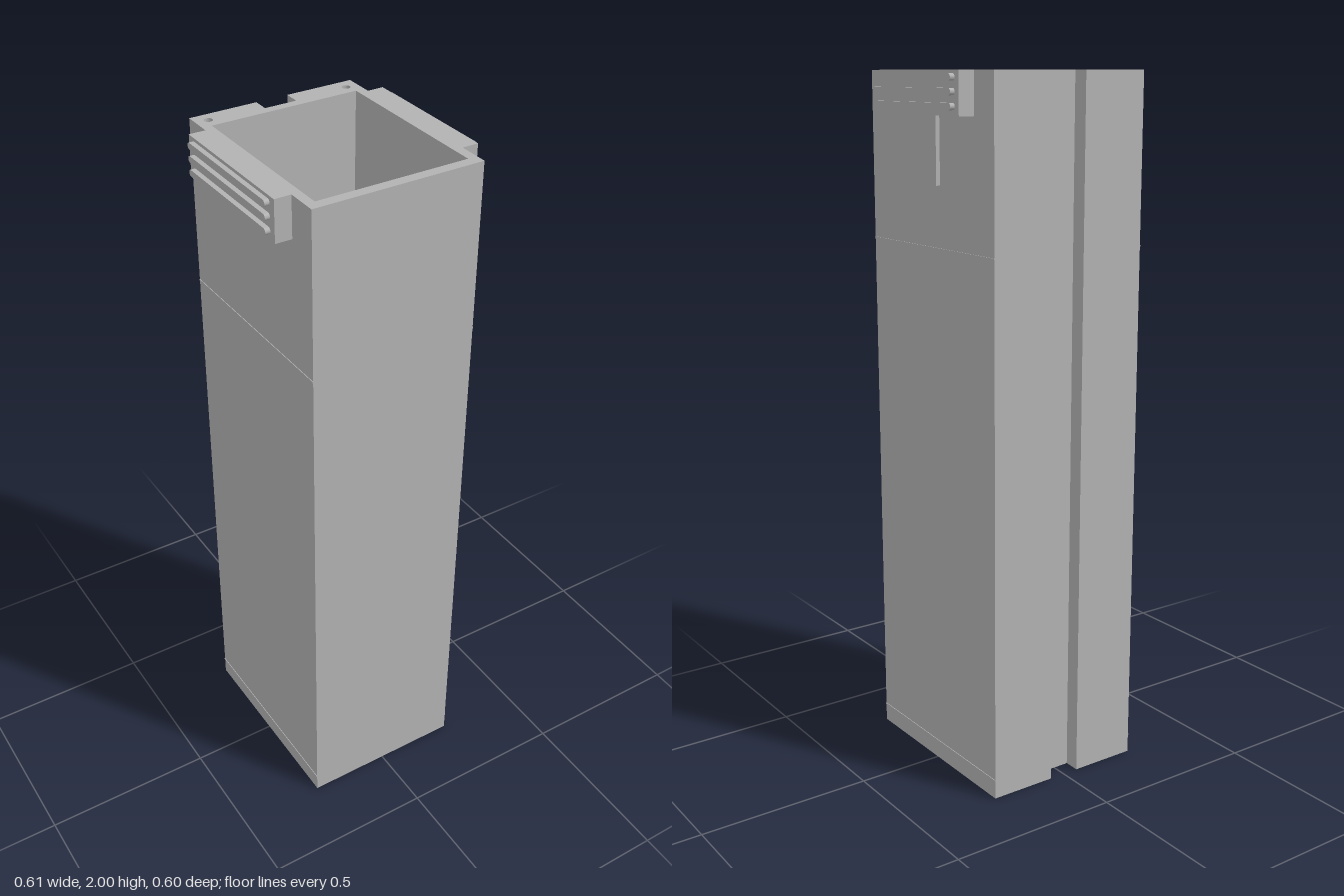
import * as THREE from 'three';

const W = 0.244, D = 0.302, H = 2;
const FLOOR = 0.055, BORE_TOP = 1.9;

function circle(x, z, r) {
  const p = new THREE.Path();
  p.absarc(x, -z, r, 0, Math.PI * 2, true);
  return p;
}

function rect(x0, x1, z0, z1) {
  return new THREE.Path([[x0, -z0], [x0, -z1], [x1, -z1], [x1, -z0]].map(([x, y]) => new THREE.Vector2(x, y)));
}

// Outer plan with the channel cut along the back
function plan(holes) {
  const pts = [[-W, D], [W, D], [W, -D], [0.047, -D], [0.047, -0.256], [-0.047, -0.256], [-0.047, -D], [-W, -D]];
  const s = new THREE.Shape(pts.map(([x, z]) => new THREE.Vector2(x, -z)));
  s.holes.push(...holes);
  return s;
}

export function createModel() {
  const group = new THREE.Group();
  const grey = new THREE.MeshStandardMaterial({ color: 0xb2b2b2 });
  grey.name = 'grey';

  const add = (name, geo, x = 0, y = 0, z = 0) => {
    const m = new THREE.Mesh(geo, grey);
    m.name = name;
    m.position.set(x, y, z);
    group.add(m);
    return m;
  };
  // Vertical slab from y0 to y1
  const slab = (name, shape, y0, y1) => {
    const g = new THREE.ExtrudeGeometry(shape, { depth: y1 - y0, bevelEnabled: false, curveSegments: 16 });
    g.rotateX(-Math.PI / 2);
    add(name, g, 0, y0, 0);
  };

  const cavity = () => rect(-0.217, 0.217, -0.23, 0.272);

  // Floor with a square opening and two screw holes
  slab('floor', plan([
    rect(-0.075, 0.075, 0.095, 0.242),
    circle(-0.119, 0.168, 0.017), circle(0.119, 0.168, 0.017),
  ]), 0, FLOOR);
  // Hollow walls, then a rim with blind holes at the back corners
  slab('walls', plan([cavity()]), FLOOR, BORE_TOP);
  slab('rim', plan([
    cavity(), circle(-0.208, -0.266, 0.012), circle(0.208, -0.266, 0.012),
  ]), BORE_TOP, H);

  // Rounded grip rib, lying along z and standing out along x
  const r = 0.009, half = 0.194 - r;
  const ribShape = new THREE.Shape();
  ribShape.absarc(half, 0, r, -Math.PI / 2, Math.PI / 2, false);
  ribShape.absarc(-half, 0, r, Math.PI / 2, Math.PI * 1.5, false);
  const ribGeo = new THREE.ExtrudeGeometry(ribShape, { depth: 0.016, bevelEnabled: false, curveSegments: 8 });
  ribGeo.translate(0, 0, -0.008).rotateY(Math.PI / 2);

  for (const s of [-1, 1]) {
    add('gripBlock', new THREE.BoxGeometry(0.047, 0.115, 0.426), s * 0.2675, H - 0.0575, 0);
    for (const y of [1.982, 1.946, 1.909]) add('gripRib', ribGeo, s * 0.297, y, -0.001);
    // Fine seam lines across the side
    for (const y of [FLOOR, 1.53]) add('seam', new THREE.BoxGeometry(0.004, 0.004, 2 * D), s * W, y, 0);
  }

  // Thin guide bar under one grip
  add('guideBar', new THREE.BoxGeometry(0.014, 0.187, 0.016), 0.249, 1.7935, -0.04);

  return group;
}
